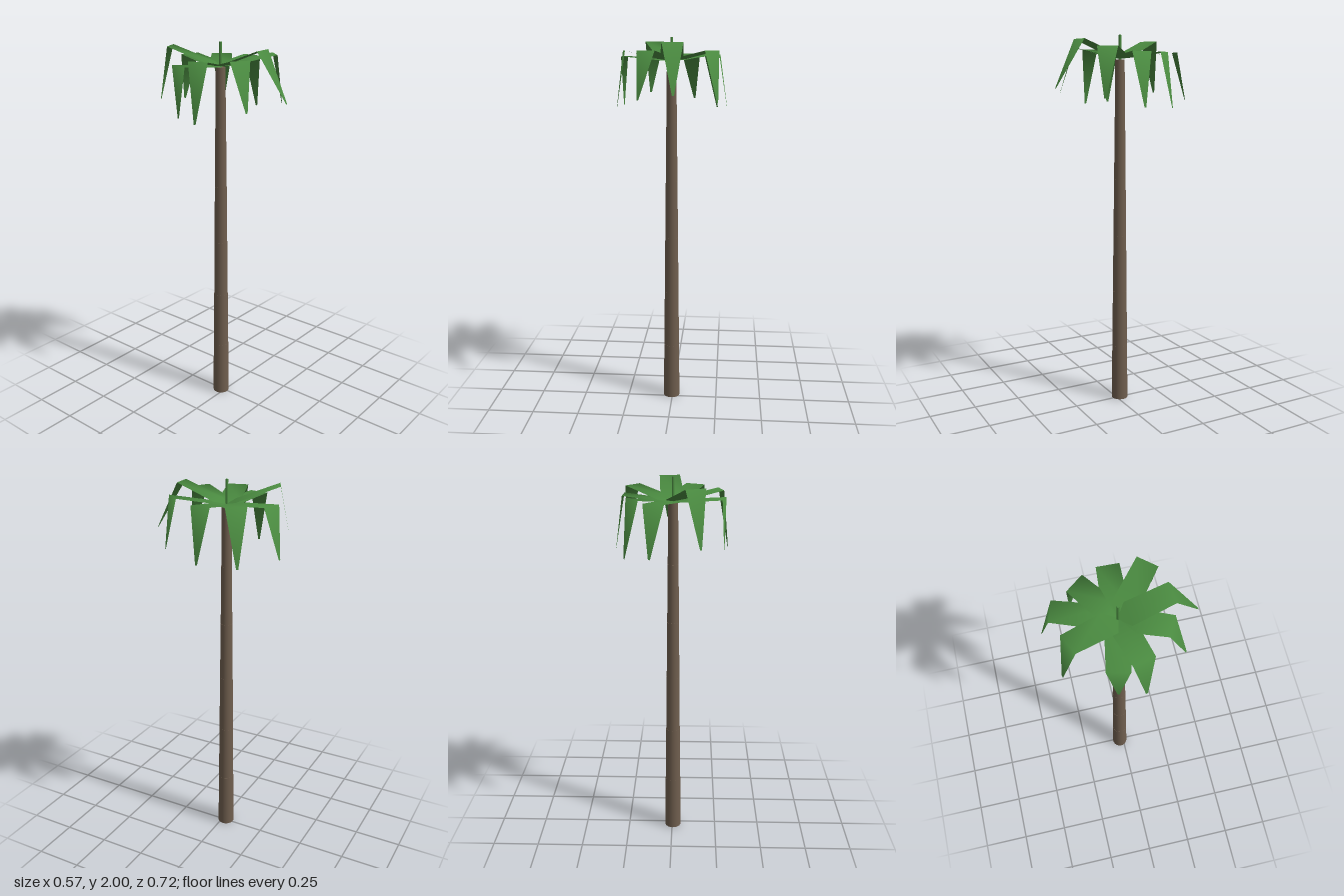
import * as THREE from 'three';

const CX = -0.005, CZ = -0.022; // trunk axis
const ROOT_Y = 1.88;

// One frond: a thin strip that leaves the crown, rises to a bend, then droops to a tip.
// bend and tip are [x, y, z]
function frondGeometry(bend, tip) {
  const root = new THREE.Vector3(CX, ROOT_Y, CZ);
  const b = new THREE.Vector3(...bend), t = new THREE.Vector3(...tip);
  const reach = Math.hypot(b.x - CX, b.z - CZ);
  const side = new THREE.Vector3(b.z - CZ, 0, CX - b.x).normalize();
  const rows = [
    [root, 0.005],
    [root.clone().lerp(b, 0.045 / reach), 0.06],
    [b, 0.053],
    [t, 0.005],
  ];
  const pos = [], idx = [];
  rows.forEach(([p, half], i) => {
    for (const s of [-1, 1]) pos.push(...p.clone().addScaledVector(side, s * half).toArray());
    if (i > 0) {
      const a = 2 * i - 2;
      idx.push(a, a + 3, a + 1, a, a + 2, a + 3);
    }
  });
  const g = new THREE.BufferGeometry();
  g.setAttribute('position', new THREE.Float32BufferAttribute(pos, 3));
  g.setIndex(idx);
  g.computeVertexNormals();
  return g;
}

export function createModel() {
  const palm = new THREE.Group();
  palm.name = 'palmTree';
  const bark = new THREE.MeshStandardMaterial({ color: 0x6f5e4e });
  const leaf = new THREE.MeshStandardMaterial({ color: 0x4a8a40, side: THREE.DoubleSide });

  // Trunk: six stacked, slightly stepped segments
  const trunk = new THREE.Group();
  trunk.name = 'trunk';
  const count = 6, h = 1.875 / count;
  for (let i = 0; i < count; i++) {
    const r = 0.0445 - i * 0.0034;
    const seg = new THREE.Mesh(new THREE.CylinderGeometry(r - 0.0025, r, h, 20), bark);
    seg.name = 'trunkSegment' + (i + 1);
    seg.position.set(CX, h * (i + 0.5), CZ);
    trunk.add(seg);
  }
  palm.add(trunk);

  // Young shoot standing in the middle of the crown
  const shoot = new THREE.Mesh(new THREE.CylinderGeometry(0.007, 0.007, 0.13, 10), leaf);
  shoot.name = 'centerShoot';
  shoot.position.set(CX, 1.935, CZ);
  palm.add(shoot);

  // Fronds: [bend point, tip point]
  const crown = new THREE.Group();
  crown.name = 'crown';
  const fronds = [
    [[0.018, 1.975, 0.221], [0.031, 1.73, 0.36]],
    [[-0.116, 1.935, 0.189], [-0.151, 1.7, 0.258]],
    [[-0.244, 1.932, 0.036], [-0.284, 1.64, 0.046]],
    [[-0.257, 1.902, -0.078], [-0.262, 1.65, -0.08]],
    [[-0.116, 1.975, -0.259], [-0.143, 1.7, -0.308]],
    [[0.08, 1.912, -0.303], [0.099, 1.665, -0.36]],
    [[0.189, 1.912, -0.173], [0.23, 1.63, -0.202]],
    [[0.243, 1.912, -0.012], [0.285, 1.64, -0.01]],
    [[0.208, 1.935, 0.159], [0.238, 1.685, 0.188]],
  ];
  fronds.forEach(([bend, tip], i) => {
    const frond = new THREE.Mesh(frondGeometry(bend, tip), leaf);
    frond.name = 'frond' + (i + 1);
    crown.add(frond);
  });
  palm.add(crown);
  return palm;
}
